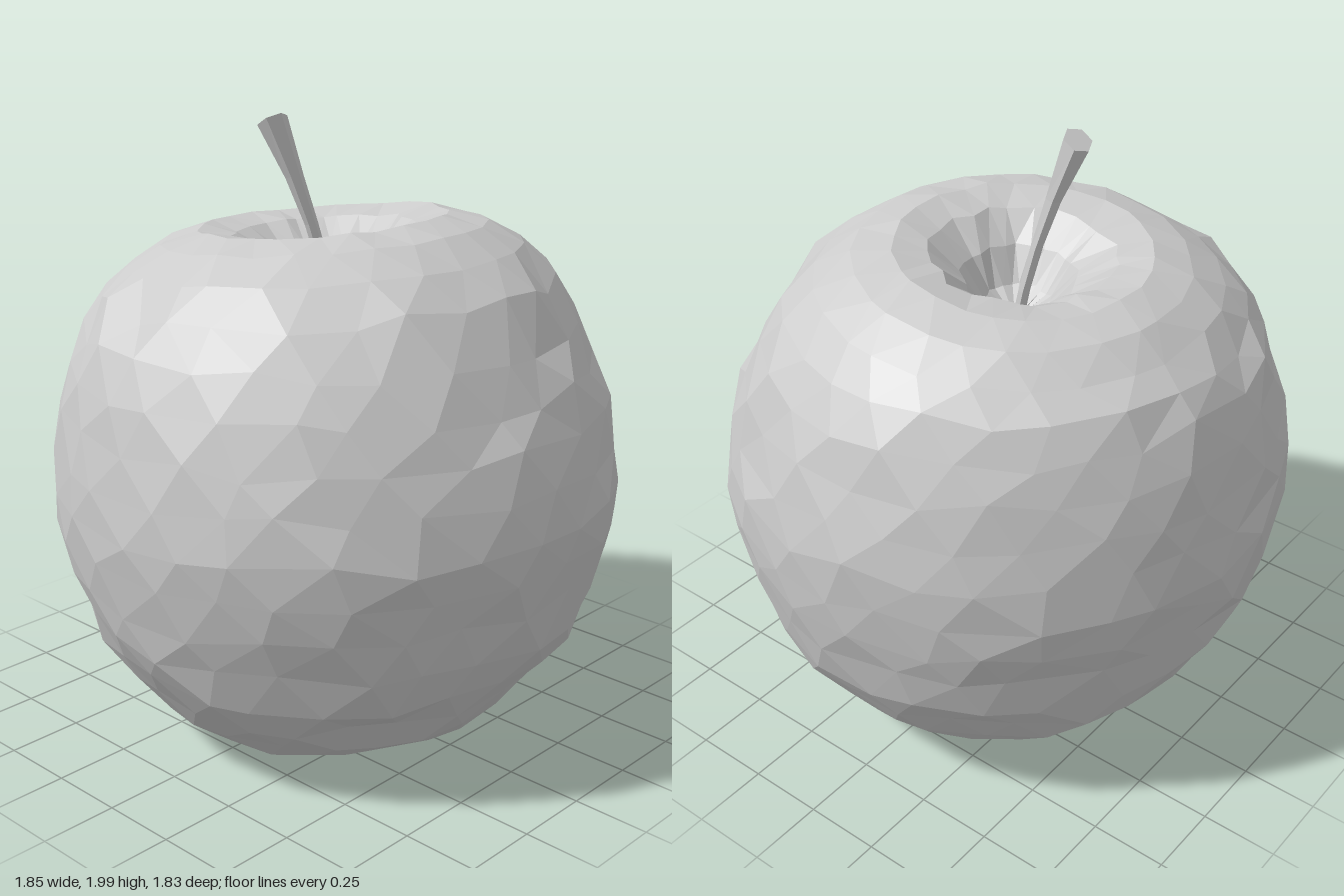
import * as THREE from 'three';

const SEG = 26, ROWS = 25;

// small seeded random, -1..1
function makeRandom(seed) {
  return () => {
    seed = (seed * 16807) % 2147483647;
    return (seed / 2147483647) * 2 - 1;
  };
}

// Flat-shaded fruit skin: staggered rings along a profile, shifted back and tilted towards the top
function fruitSkin(profile) {
  const random = makeRandom(41);
  const pos = [], index = [];
  for (let j = 0; j < ROWS; j++) {
    const { x: r, y: h } = profile.getPointAt(j / (ROWS - 1));
    const rise = (h / 1.66) ** 4;
    const tilt = 0.09 * THREE.MathUtils.smoothstep(h, 1.3, 1.66);
    const depth = 0.985 - 0.06 * Math.abs(h - 0.85);
    const lobe = h < 0.1 ? 0.01 : 0;
    const jitter = r < 0.3 ? 0.07 : 0.01;
    for (let i = 0; i < SEG; i++) {
      const a = ((i + (j % 2) / 2 + random() * 0.24) / SEG) * Math.PI * 2;
      const k = r * (1 + random() * jitter);
      const x = Math.cos(a) * k, z = Math.sin(a) * k * depth;
      const wobble = random() * (r > 0.7 ? 0.03 : 0.006);
      pos.push(
        x + 0.03 * rise - 0.005,
        h + tilt * z + lobe * Math.cos(5 * a + 1.57) + wobble,
        z + 0.005 - 0.095 * rise,
      );
    }
  }
  for (let j = 0; j < ROWS - 1; j++) {
    for (let i = 0; i < SEG; i++) {
      const n = (i + 1) % SEG, b = j * SEG, t = b + SEG;
      if (j % 2) index.push(b + i, t + i, t + n, b + i, t + n, b + n);
      else index.push(b + i, t + i, b + n, t + i, t + n, b + n);
    }
  }
  const g = new THREE.BufferGeometry();
  g.setAttribute('position', new THREE.Float32BufferAttribute(pos, 3));
  g.setIndex(index);
  g.computeVertexNormals();
  return g;
}

export function createModel() {
  const group = new THREE.Group();
  const material = new THREE.MeshStandardMaterial({ color: 0xcccccc, flatShading: true });
  const add = (name, geometry, parent = group) => {
    const mesh = new THREE.Mesh(geometry, material);
    mesh.name = name;
    parent.add(mesh);
    return mesh;
  };

  // fruit profile (radius, height): lower hollow, out over the body, down into the stem hollow
  const profile = new THREE.SplineCurve([
    [0.001, 0.25], [0.16, 0.13], [0.33, 0.016], [0.46, 0.03], [0.61, 0.12],
    [0.73, 0.25], [0.84, 0.43], [0.925, 0.77], [0.91, 1.05], [0.8, 1.38],
    [0.6, 1.59], [0.37, 1.658], [0.21, 1.57], [0.1, 1.44], [0.001, 1.38],
  ].map(([r, h]) => new THREE.Vector2(r, h)));
  add('fruitBody', fruitSkin(profile));

  // stem: leaning, flared at the tip with a slanted cut
  const stem = new THREE.CylinderGeometry(1, 1, 1, 6, 4);
  const p = stem.attributes.position;
  const path = new THREE.CatmullRomCurve3([
    new THREE.Vector3(0.045, 1.37, -0.07), new THREE.Vector3(0.01, 1.55, -0.09),
    new THREE.Vector3(-0.045, 1.74, -0.12), new THREE.Vector3(-0.115, 1.975, -0.175),
  ]);
  for (let i = 0; i < p.count; i++) {
    const t = p.getY(i) + 0.5;
    const c = path.getPoint(t);
    const r = 0.023 + 0.03 * t ** 4;
    const x = p.getX(i), z = p.getZ(i);
    p.setXYZ(i, c.x + x * r, c.y + t ** 4 * 0.025 * z, c.z + z * r * 0.75);
  }
  stem.computeVertexNormals();
  add('stem', stem);

  // dried sepals inside the lower hollow
  const sepals = new THREE.Group();
  sepals.name = 'sepals';
  sepals.position.set(-0.005, 0.2, 0);
  for (let i = 0; i < 5; i++) {
    const pivot = new THREE.Group();
    pivot.rotation.y = (i / 5) * Math.PI * 2;
    const sepal = add('sepal', new THREE.ConeGeometry(0.03, 0.11, 4), pivot);
    sepal.position.set(0.05, -0.02, 0);
    sepal.rotation.z = Math.PI + 0.5;
    sepals.add(pivot);
  }
  group.add(sepals);
  return group;
}
